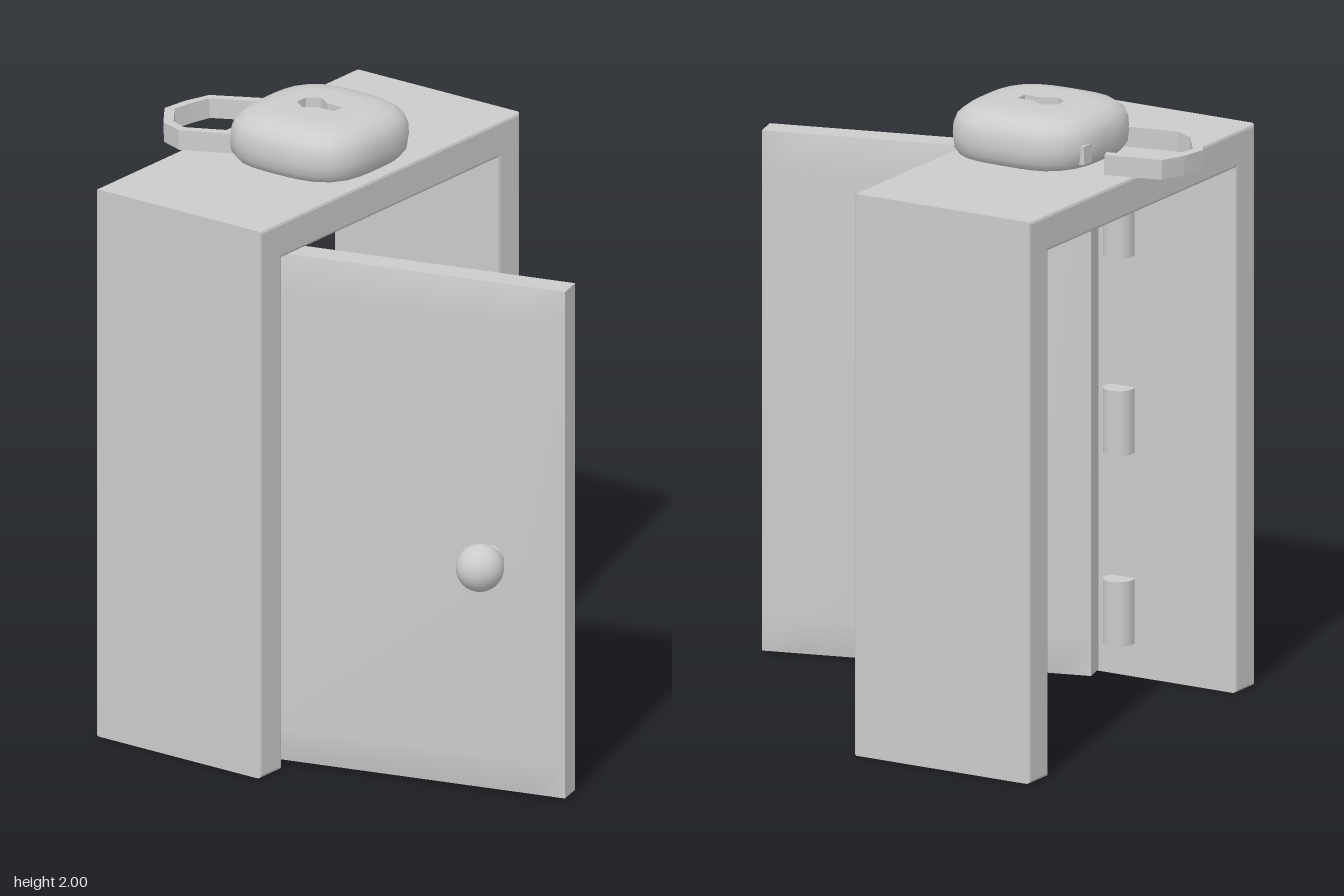
import * as THREE from 'three';
import { mergeVertices } from 'three/addons/utils/BufferGeometryUtils.js';

const grey = new THREE.MeshStandardMaterial({ color: 0xcccccc });

function add(parent, name, geometry, x = 0, y = 0, z = 0, material = grey) {
  const mesh = new THREE.Mesh(geometry, material);
  mesh.name = name;
  mesh.position.set(x, y, z);
  parent.add(mesh);
  return mesh;
}

const shapeOf = (pts) => new THREE.Shape(pts.map(([x, y]) => new THREE.Vector2(x, y)));

// Scale that turns a circle into a rounded square at a given direction
const squareness = (c, s) => Math.pow(Math.abs(c) ** 3.2 + Math.abs(s) ** 3.2, -1 / 3.2);

// Doorway: upside-down U extruded along x, with fine bevelled edges
function frameGeometry() {
  const width = 0.645, bevel = 0.01;
  const shape = shapeOf([
    [-0.675, 0], [-0.56, 0], [-0.56, 1.705], [0.56, 1.705],
    [0.56, 0], [0.675, 0], [0.675, 1.825], [-0.675, 1.825],
  ]);
  const geo = new THREE.ExtrudeGeometry(shape, {
    depth: width - 2 * bevel, bevelSize: bevel, bevelThickness: bevel,
    bevelOffset: -bevel, bevelSegments: 2,
  });
  geo.translate(0, 0, bevel - width / 2);
  return geo.rotateY(Math.PI / 2);
}

// Door slab: slightly raised on both faces, thinning towards the border
function doorGeometry(w, h, middle, edge, border) {
  const geo = new THREE.BoxGeometry(w, h, 1, 3, 3, 1);
  const p = geo.attributes.position;
  for (let i = 0; i < p.count; i++) {
    const x = p.getX(i), y = p.getY(i);
    const inside = Math.abs(x) < w / 2 - 0.01 && Math.abs(y) < h / 2 - 0.01;
    const nx = Math.abs(x) < w / 2 - 0.01 ? Math.sign(x) * (w / 2 - border) : x;
    const ny = Math.abs(y) < h / 2 - 0.01 ? Math.sign(y) * (h / 2 - border) : y;
    p.setXYZ(i, nx, ny, Math.sign(p.getZ(i)) * (inside ? middle : edge) / 2);
  }
  geo.computeVertexNormals();
  return geo;
}

// Padlock body: a lathe pushed out to a rounded square
function lockGeometry(profile) {
  let geo = new THREE.LatheGeometry(profile.map(([r, y]) => new THREE.Vector2(r, y)), 32);
  const p = geo.attributes.position;
  for (let i = 0; i < p.count; i++) {
    const x = p.getX(i), z = p.getZ(i), r = Math.hypot(x, z);
    if (r < 1e-6) continue;
    const k = squareness(x / r, z / r);
    p.setX(i, x * k);
    p.setZ(i, z * k);
  }
  geo.deleteAttribute('uv');
  geo.deleteAttribute('normal');
  geo = mergeVertices(geo, 1e-5);
  geo.computeVertexNormals();
  return geo;
}

// Flat band of even width following a path in plan, extruded upwards
function bandGeometry(path, width, height) {
  const pts = path.map(([x, z]) => new THREE.Vector2(x, -z));
  const side = (s) => pts.map((p, i) => {
    const a = pts[Math.max(i - 1, 0)], b = pts[Math.min(i + 1, pts.length - 1)];
    const d = b.clone().sub(a).normalize();
    return [p.x - d.y * s * width / 2, p.y + d.x * s * width / 2];
  });
  const shape = shapeOf([...side(1), ...side(-1).reverse()]);
  const geo = new THREE.ExtrudeGeometry(shape, { depth: height, bevelEnabled: false });
  return geo.rotateX(-Math.PI / 2);
}

export function createModel() {
  const model = new THREE.Group();
  model.name = 'doorwayWithPadlock';

  add(model, 'doorFrame', frameGeometry(), -0.3625, 0, 0);

  // Hinges on the inner face of the front post
  for (const y of [0.215, 0.835, 1.475]) {
    add(model, 'hinge', new THREE.CylinderGeometry(0.05, 0.05, 0.21, 16), -0.27, y, 0.535);
  }

  // Open door with its knob
  const door = new THREE.Group();
  door.name = 'door';
  door.position.set(0.315, 0.855, 0.3625);
  door.rotation.y = 0.27;
  model.add(door);
  add(door, 'doorPanel', doorGeometry(1.07, 1.69, 0.135, 0.085, 0.12));
  const stem = add(door, 'knobStem', new THREE.CylinderGeometry(0.042, 0.042, 0.09, 20), 0.297, -0.065, 0.09);
  stem.rotation.x = Math.PI / 2;
  add(door, 'knob', new THREE.SphereGeometry(0.076, 28, 18), 0.297, -0.065, 0.165);

  // Padlock lying on top of the frame
  const lock = new THREE.Group();
  lock.name = 'padlock';
  lock.position.set(-0.295, 0, 0.03);
  model.add(lock);
  const rim = 0.13;
  add(lock, 'lockBody', lockGeometry([
    [0, 1.825], [0.19, 1.825], [0.228, 1.838], [0.244, 1.862], [0.248, 1.895],
    [0.246, 1.93], [0.234, 1.962], [0.205, 1.985], [0.165, 1.996], [rim, 2],
  ]));

  // Top plate pierced by the keyhole, and the recess below it
  const keyhole = [
    [-0.075, 0.03], [-0.035, 0.055], [0.01, 0.028], [0.07, 0.028],
    [0.07, -0.017], [0.01, -0.017], [-0.035, -0.045], [-0.075, -0.017],
  ];
  const plate = shapeOf(Array.from({ length: 32 }, (_, i) => {
    const c = Math.cos(i * Math.PI / 16), s = Math.sin(i * Math.PI / 16);
    const r = rim * squareness(c, s);
    return [r * c, r * s];
  }));
  plate.holes.push(shapeOf(keyhole));
  add(lock, 'lockTop', new THREE.ShapeGeometry(plate).rotateX(-Math.PI / 2), 0, 2, 0);
  const inward = new THREE.MeshStandardMaterial({ color: 0xcccccc, side: THREE.BackSide });
  const recess = new THREE.ExtrudeGeometry(shapeOf(keyhole), { depth: 0.05, bevelEnabled: false });
  add(lock, 'keyhole', recess.rotateX(-Math.PI / 2), 0, 1.95, 0, inward);
  add(lock, 'shackleSocket', new THREE.BoxGeometry(0.03, 0.06, 0.045), -0.23, 1.885, -0.12);

  // Open shackle, one end in the body and one end free
  const shackle = add(model, 'shackle', bandGeometry([
    [-0.46, 0.17], [-0.52, 0.195], [-0.67, 0.248], [-0.745, 0.215], [-0.82, 0.11],
    [-0.807, 0.03], [-0.782, -0.045], [-0.615, -0.11],
  ], 0.033, 0.065), 0, 1.867, 0);
  shackle.rotation.z = 0.045;

  return model;
}
